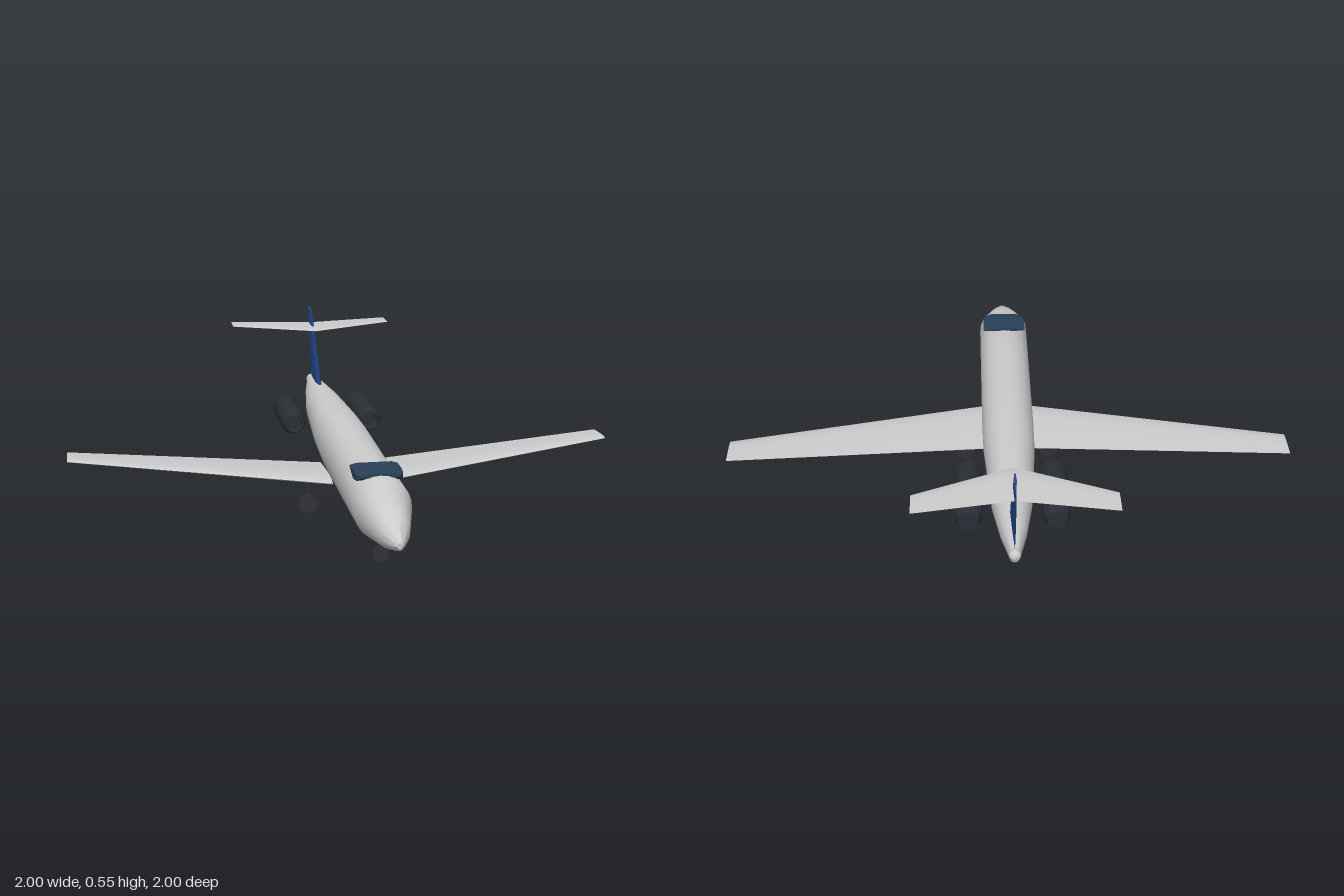
import * as THREE from 'three';
import { toCreasedNormals } from 'three/addons/utils/BufferGeometryUtils.js';

const paint = (color) => new THREE.MeshStandardMaterial({ color });
const grey = paint(0xcccccc);
const blue = paint(0x264a8c);
const glass = paint(0x2a4058);
const dark = paint(0x2b2f36);
const rubber = paint(0x303236);

// Skins a list of equal-length rings of [x, y, z] and closes both ends
function loft(rings, crease = 0.7) {
  const n = rings[0].length;
  const pts = rings.flat();
  const tris = [];
  for (let r = 0; r < rings.length - 1; r++) {
    for (let i = 0; i < n; i++) {
      const a = r * n + i, b = r * n + (i + 1) % n;
      tris.push([a, b, b + n], [a, b + n, a + n]);
    }
  }
  const last = (rings.length - 1) * n;
  for (let i = 1; i < n - 1; i++) {
    tris.push([0, i + 1, i], [last, last + i, last + i + 1]);
  }
  // Turn the faces outward if the enclosed volume is negative
  const v = pts.map((p) => new THREE.Vector3(...p));
  let volume = 0;
  for (const [a, b, c] of tris) volume += v[a].dot(v[b].clone().cross(v[c]));
  if (volume < 0) tris.forEach((t) => t.reverse());
  const geo = new THREE.BufferGeometry();
  geo.setAttribute('position', new THREE.Float32BufferAttribute(pts.flat(), 3));
  geo.setIndex(tris.flat());
  return toCreasedNormals(geo, crease);
}

// Aerofoil outline as [chord fraction, thickness fraction]
const FOIL = [[0, 0], [0.06, 0.3], [0.3, 0.5], [0.65, 0.3], [1, 0.03],
  [1, -0.03], [0.65, -0.3], [0.3, -0.5], [0.06, -0.3]];

// Aerofoil ring lying across x
const wingRing = (x, y, lead, trail, thick, drop = 0) =>
  FOIL.map(([c, t]) => [x, y + t * thick - c * drop, lead + (trail - lead) * c]);

// Aerofoil ring lying across y
const finRing = (y, lead, trail, thick) =>
  FOIL.map(([c, t]) => [t * thick, y, lead + (trail - lead) * c]);

function add(parent, name, geo, mat, x = 0, y = 0, z = 0) {
  const mesh = new THREE.Mesh(geo, mat);
  mesh.name = name;
  mesh.position.set(x, y, z);
  parent.add(mesh);
  return mesh;
}

// Disc wheel with its thin flat strut
function gear(name, x, z, y, radius, top) {
  const g = new THREE.Group();
  g.name = name;
  const disc = new THREE.CylinderGeometry(radius, radius, 0.016, 12).rotateX(Math.PI / 2);
  add(g, 'wheel', disc, rubber, x, y, z);
  add(g, 'strut', new THREE.BoxGeometry(0.008, top - y, 0.002), rubber, x, (top + y) / 2, z);
  return g;
}

export function createModel() {
  const plane = new THREE.Group();
  plane.name = 'airliner';

  // Fuselage stations: z, half width, bottom, top
  const stations = [
    [1.0, 0.008, 0.16, 0.18], [0.98, 0.02, 0.148, 0.192], [0.9, 0.052, 0.126, 0.228],
    [0.73, 0.093, 0.1, 0.299], [0.4, 0.093, 0.098, 0.303], [0, 0.093, 0.098, 0.312],
    [-0.2, 0.09, 0.116, 0.307], [-0.55, 0.069, 0.149, 0.297], [-0.75, 0.043, 0.192, 0.288],
    [-0.88, 0.018, 0.225, 0.28],
  ];
  const sides = 24;
  const hull = stations.map(([z, w, lo, hi]) => Array.from({ length: sides }, (_, i) => {
    const a = (i / sides) * Math.PI * 2;
    const soft = (s) => Math.sign(s) * Math.abs(s) ** 0.92;
    return [w * soft(Math.cos(a)), (lo + hi) / 2 + (hi - lo) / 2 * soft(Math.sin(a)), z];
  }));
  add(plane, 'fuselage', loft(hull, 0.9), grey);
  add(plane, 'tailCone', new THREE.SphereGeometry(0.02, 12, 8), grey, 0, 0.26, -0.89);

  // Windscreen: shallow shell wrapped over the nose; half width, skirt and top by station
  const screen = [[0.55, 0.08, 0.298, 0.308], [0.62, 0.08, 0.276, 0.309],
    [0.66, 0.077, 0.28, 0.308], [0.68, 0.064, 0.293, 0.306]]
    .map(([z, w, lo, hi]) => [[-w, lo, z], [-w, hi - 0.006, z], [-w * 0.75, hi, z],
      [w * 0.75, hi, z], [w, hi - 0.006, z], [w, lo, z]]);
  add(plane, 'windscreen', loft(screen, 0.5), glass);

  for (const [side, s] of [['left', 1], ['right', -1]]) {
    // Swept wing rising toward the tip
    add(plane, side + 'Wing', loft([
      wingRing(s * 0.085, 0.143, 0.235, -0.06, 0.026, 0.006),
      wingRing(s * 1.0, 0.181, -0.06, -0.19, 0.01),
    ]), grey);

    // Engine pod with a shallow recessed intake
    const pod = [[0, -0.16], [0.034, -0.16], [0.048, -0.125], [0.048, 0.125],
      [0.036, 0.16], [0.03, 0.16], [0.026, 0.14], [0, 0.14]]
      .map(([r, h]) => new THREE.Vector2(r, h));
    const podGeo = toCreasedNormals(new THREE.LatheGeometry(pod, 12).rotateX(Math.PI / 2), 0.6);
    add(plane, side + 'Engine', podGeo, dark, s * 0.146, 0.219, -0.48);

    plane.add(gear(side + 'MainGear', s * 0.155, 0.104, 0.035, 0.035, 0.14));
  }
  plane.add(gear('noseGear', 0, 0.685, 0.037, 0.028, 0.11));

  // Fin, swept back
  add(plane, 'fin', loft([
    finRing(0.27, -0.6, -0.875, 0.02),
    finRing(0.295, -0.625, -0.885, 0.02),
    finRing(0.55, -0.865, -0.995, 0.009),
  ]), blue);

  // Tailplane near the top of the fin
  add(plane, 'tailplane', loft([
    wingRing(-0.32, 0.49, -0.89, -0.99, 0.006),
    wingRing(0, 0.49, -0.74, -0.93, 0.01),
    wingRing(0.32, 0.49, -0.89, -0.99, 0.006),
  ]), grey);

  // Tail cone sits at the top of the hull's end cap
  return plane;
}
